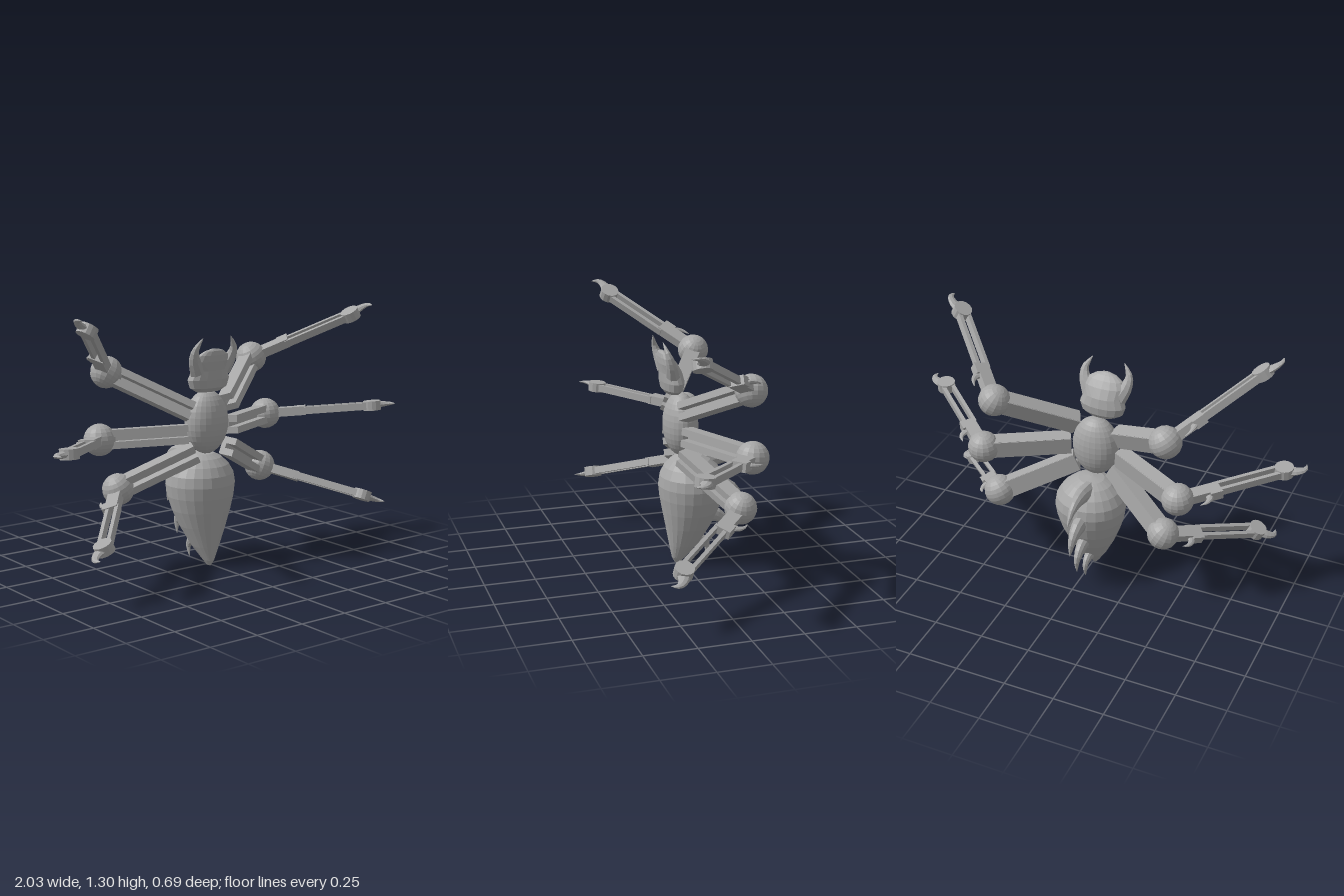
import * as THREE from 'three';

const grey = new THREE.MeshStandardMaterial({ color: 0xa6a6a6, flatShading: true });
grey.name = 'grey';
const V = (x, y, z) => new THREE.Vector3(x, y, z);

function add(parent, name, geometry, x = 0, y = 0, z = 0) {
  const mesh = new THREE.Mesh(geometry, grey);
  mesh.name = name;
  mesh.position.set(x, y, z);
  parent.add(mesh);
  return mesh;
}

// Elliptical rings along a path: a = half width along side, b = half depth.
function loft(points, a, b, side, sides = 10, tangent = null) {
  const pos = [], index = [], n = points.length;
  points.forEach((p, i) => {
    const t = tangent || points[Math.min(i + 1, n - 1)].clone().sub(points[Math.max(i - 1, 0)]).normalize();
    const s = side.clone().addScaledVector(t, -side.dot(t)).normalize();
    const m = t.clone().cross(s);
    for (let j = 0; j < sides; j++) {
      const k = (j / sides) * Math.PI * 2;
      const q = p.clone().addScaledVector(s, a[i] * Math.cos(k)).addScaledVector(m, b[i] * Math.sin(k));
      pos.push(q.x, q.y, q.z);
    }
  });
  pos.push(...points[0].toArray(), ...points[n - 1].toArray());
  for (let j = 0; j < sides; j++) {
    const k = (j + 1) % sides, e = (n - 1) * sides;
    for (let i = 0; i < n - 1; i++) {
      const r = i * sides, u = r + sides;
      index.push(r + j, r + k, u + j, r + k, u + k, u + j);
    }
    index.push(n * sides, k, j, n * sides + 1, e + j, e + k);
  }
  const g = new THREE.BufferGeometry();
  g.setAttribute('position', new THREE.Float32BufferAttribute(pos, 3));
  g.setIndex(index);
  g.computeVertexNormals();
  return g;
}

// Curved spike tapering from its base to a point.
function spike(points, width, depth, side, sides = 8) {
  const steps = 7, a = [], b = [];
  const path = new THREE.CatmullRomCurve3(points).getPoints(steps);
  for (let i = 0; i <= steps; i++) {
    const f = Math.pow(Math.max(0.01, 1 - i / steps), 0.75);
    a.push(width * f);
    b.push(depth * f);
  }
  return loft(path, a, b, side, sides);
}

// Upright body from rows of [y, centre z, half width, half depth].
function body(rows, x, sides) {
  return loft(rows.map(r => V(x, r[0], r[1])), rows.map(r => r[2]), rows.map(r => r[3]), V(1, 0, 0), sides, V(0, 1, 0));
}

// Group whose X runs along the limb and Y points to the outside of the bend.
function limbFrame(parent, name, origin, end, out) {
  const u = end.clone().sub(origin).normalize();
  const o = out.clone().addScaledVector(u, -out.dot(u)).normalize();
  const g = new THREE.Group();
  g.name = name;
  g.quaternion.setFromRotationMatrix(new THREE.Matrix4().makeBasis(u, o, u.clone().cross(o)));
  g.position.copy(origin);
  parent.add(g);
  return g;
}

function buildLeg(parent, name, shoulder, elbow, wrist) {
  const leg = new THREE.Group();
  leg.name = name;
  parent.add(leg);
  const out = elbow.clone().multiplyScalar(2).sub(shoulder).sub(wrist);

  // Channel-shaped upper leg with a back plate and two rails
  const upper = limbFrame(leg, 'upperLeg', shoulder, elbow, out);
  const ul = shoulder.distanceTo(elbow) - 0.03;
  add(upper, 'backPlate', new THREE.BoxGeometry(ul, 0.025, 0.09), ul / 2, 0.026, 0);
  for (const s of [-1, 1])
    add(upper, 'upperRail', new THREE.BoxGeometry(ul, 0.07, 0.034), ul / 2, 0, s * 0.029);

  // Ball joint
  const lower = limbFrame(leg, 'lowerLeg', elbow, wrist, out);
  const ball = add(lower, 'elbowBall', new THREE.SphereGeometry(0.078, 16, 12));
  ball.rotation.x = Math.PI / 2;

  // Bracket, spur, twin rails, wrist disc and claw
  const L = elbow.distanceTo(wrist);
  add(lower, 'bracket', new THREE.BoxGeometry(0.16, 0.065, 0.045), 0.13, 0.005, 0);
  add(lower, 'bracketStep', new THREE.BoxGeometry(0.06, 0.03, 0.045), 0.18, 0.035, 0);
  add(lower, 'spur', spike([V(0.15, 0.02, 0), V(0.14, 0.055, 0), V(0.115, 0.075, 0), V(0.08, 0.08, 0)],
    0.014, 0.022, V(0, 0, 1)));
  for (const s of [-1, 1])
    add(lower, 'lowerRail', new THREE.BoxGeometry(L - 0.2, 0.019, 0.036), (L + 0.18) / 2, s * 0.024, 0);
  const disc = add(lower, 'wristDisc', new THREE.CylinderGeometry(0.046, 0.046, 0.048, 14), L, 0, 0);
  disc.rotation.x = Math.PI / 2;
  add(lower, 'claw', spike([V(L + 0.01, 0.005, 0), V(L + 0.055, 0.03, 0), V(L + 0.095, 0.03, 0), V(L + 0.118, 0.002, 0)],
    0.02, 0.033, V(0, 0, 1)));
}

export function createModel() {
  const model = new THREE.Group();
  model.name = 'mechanicalInsect';

  // Abdomen, a teardrop pointing down
  add(model, 'abdomen', body([
    [0.003, 0.02, 0.008, 0.015], [0.03, 0.015, 0.026, 0.035], [0.1, -0.01, 0.068, 0.073],
    [0.2, -0.032, 0.118, 0.112], [0.28, -0.043, 0.15, 0.138], [0.35, -0.048, 0.17, 0.155],
    [0.41, -0.05, 0.178, 0.163], [0.46, -0.05, 0.17, 0.156], [0.505, -0.048, 0.143, 0.132],
    [0.54, -0.045, 0.105, 0.097], [0.56, -0.042, 0.065, 0.06], [0.57, -0.04, 0.01, 0.01]], -0.012, 24));

  // Row of hooked fins down the back: base, bend, bend, tip as [y, z]
  const fins = [
    [[0.51, -0.09], [0.537, -0.2], [0.52, -0.28], [0.457, -0.345], 0.042, 0.055],
    [[0.385, -0.16], [0.37, -0.245], [0.325, -0.295], [0.265, -0.316], 0.04, 0.055],
    [[0.245, -0.13], [0.225, -0.195], [0.18, -0.235], [0.112, -0.235], 0.034, 0.046],
    [[0.115, -0.06], [0.105, -0.112], [0.07, -0.138], [0.014, -0.13], 0.026, 0.036]];
  for (const f of fins)
    add(model, 'backFin', spike(f.slice(0, 4).map(p => V(-0.02, p[0], p[1])), f[4], f[5], V(1, 0, 0), 10));

  // Thorax
  add(model, 'thorax', new THREE.SphereGeometry(1, 24, 16), -0.015, 0.722, 0.005).scale.set(0.118, 0.157, 0.085);

  // Head with a jaw, a slight waist and a sloping crown
  add(model, 'head', body([
    [0.88, 0.042, 0.07, 0.035], [0.9, 0.043, 0.105, 0.05], [0.94, 0.044, 0.118, 0.056],
    [0.985, 0.051, 0.1, 0.052], [1.03, 0.067, 0.105, 0.042], [1.06, 0.079, 0.088, 0.03],
    [1.08, 0.088, 0.055, 0.018], [1.09, 0.092, 0.02, 0.007]], -0.033, 16));
  for (const s of [-1, 1])
    add(model, 'horn', spike([V(s * 0.075, 0.98, 0.06), V(s * 0.107, 1.04, 0.078), V(s * 0.114, 1.09, 0.095), V(s * 0.082, 1.148, 0.112)],
      0.042, 0.034, V(s, 0, 0)), -0.033, 0, 0);

  // Three pairs of legs: shoulder, elbow, wrist
  const legs = [
    ['rightUpperLimb', V(-0.125, 0.785, 0.03), V(-0.455, 0.98, -0.205), V(-0.785, 1.235, 0.15)],
    ['leftUpperLimb', V(0.1, 0.81, 0.03), V(0.425, 0.98, -0.197), V(0.78, 1.205, 0.16)],
    ['rightMiddleLimb', V(-0.14, 0.678, 0.02), V(-0.515, 0.662, -0.18), V(-0.913, 0.705, 0.19)],
    ['leftMiddleLimb', V(0.125, 0.694, 0.02), V(0.505, 0.682, -0.178), V(0.913, 0.73, 0.19)],
    ['rightLowerLimb', V(-0.1, 0.585, 0.03), V(-0.435, 0.415, -0.145), V(-0.78, 0.268, 0.255)],
    ['leftLowerLimb', V(0.1, 0.59, 0.03), V(0.443, 0.42, -0.145), V(0.8, 0.285, 0.25)]];
  for (const l of legs) buildLeg(model, ...l);

  return model;
}
